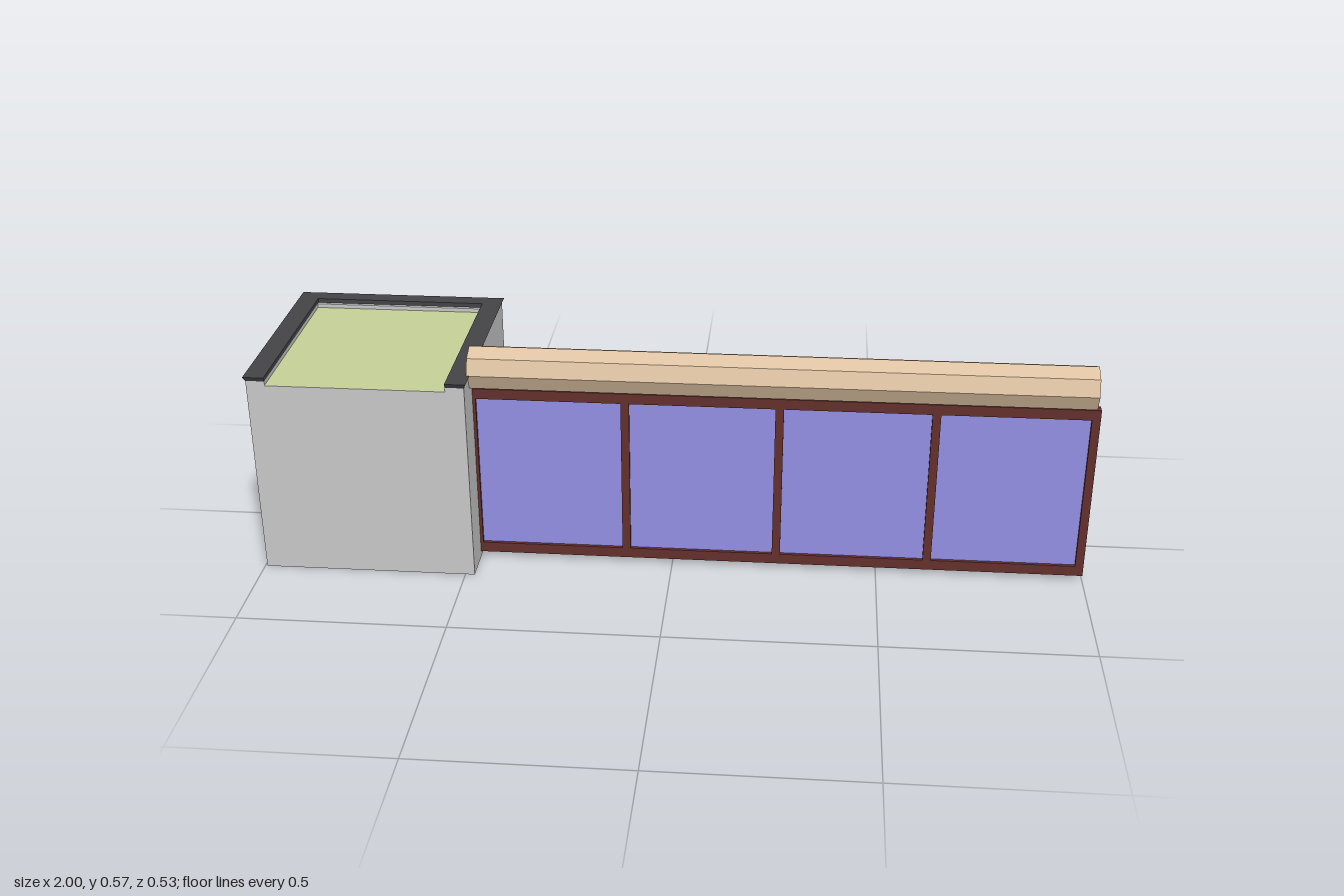
import * as THREE from 'three';

const mat = (color, extra = {}) => new THREE.MeshStandardMaterial({ color, ...extra });
const GREY = mat(0xcccccc);
const DARK = mat(0x454548);
const GLASS = mat(0x4ee8e4);
const PANE = mat(0x9592e8);
const WOOD = mat(0x65322d);
const TAN = mat(0xdfc3a3, { side: THREE.DoubleSide, flatShading: true });
const GREEN = mat(0xc8d298);

// Box given by its minimum and maximum corners
function box(name, material, [x0, y0, z0], [x1, y1, z1]) {
  const mesh = new THREE.Mesh(new THREE.BoxGeometry(x1 - x0, y1 - y0, z1 - z0), material);
  mesh.position.set((x0 + x1) / 2, (y0 + y1) / 2, (z0 + z1) / 2);
  mesh.name = name;
  return mesh;
}

// Hut extents
const X0 = -0.995, X1 = -0.477, Z = 0.261, WALL_TOP = 0.503, ROOF = 0.492, T = 0.045;
const WIN_LOW = 0.135, WIN_HIGH = 0.353, WIN = 0.22, RECESS = 0.02;

// Wall with a window hole; local x runs along the wall, local z is outward
function windowWall(name, length, winStart) {
  const group = new THREE.Group();
  group.name = name;
  const shape = new THREE.Shape();
  shape.moveTo(0, 0).lineTo(length, 0).lineTo(length, WALL_TOP).lineTo(0, WALL_TOP).closePath();
  const hole = new THREE.Path();
  hole.moveTo(winStart, WIN_LOW).lineTo(winStart, WIN_HIGH)
    .lineTo(winStart + WIN, WIN_HIGH).lineTo(winStart + WIN, WIN_LOW).closePath();
  shape.holes.push(hole);
  const wall = new THREE.Mesh(new THREE.ExtrudeGeometry(shape, { depth: T, bevelEnabled: false }), GREY);
  wall.position.z = -T;
  wall.name = name + 'Panel';
  group.add(wall, box('windowGlass', GLASS,
    [winStart, WIN_LOW, -T], [winStart + WIN, WIN_HIGH, -RECESS]));
  return group;
}

// U-shaped roof edge, open at the front, flaring outward at the top
function roofTrim() {
  const cx = (X0 + X1) / 2, h = (X1 - X0) / 2, inner = h - T;
  const shape = new THREE.Shape();
  shape.moveTo(-h, -Z).lineTo(-inner, -Z).lineTo(-inner, Z - 0.036).lineTo(inner, Z - 0.036)
    .lineTo(inner, -Z).lineTo(h, -Z).lineTo(h, Z).lineTo(-h, Z).closePath();
  const geo = new THREE.ExtrudeGeometry(shape, { depth: 0.011, bevelEnabled: false });
  geo.rotateX(-Math.PI / 2);
  const p = geo.attributes.position;
  for (let i = 0; i < p.count; i++) {
    if (p.getY(i) < 0.005) continue;
    const x = p.getX(i), z = p.getZ(i);
    if (Math.abs(x) > h - 0.001) p.setX(i, x + Math.sign(x) * 0.005);
    if (Math.abs(z) > Z - 0.001) p.setZ(i, z + Math.sign(z) * 0.005);
  }
  geo.computeVertexNormals();
  const mesh = new THREE.Mesh(geo, DARK);
  mesh.position.set(cx, WALL_TOP, 0);
  mesh.name = 'roofTrim';
  return mesh;
}

function createHut() {
  const hut = new THREE.Group();
  hut.name = 'hut';
  hut.add(box('body', GREY, [X0 + T, 0, -Z + T], [X1 - T, ROOF, Z]));
  hut.add(box('sideWall', GREY, [X0, 0, -Z], [X0 + T, WALL_TOP, Z]));

  const right = windowWall('windowSideWall', 2 * Z, Z);
  right.rotation.y = Math.PI / 2;
  right.position.set(X1, 0, Z);
  const back = windowWall('backWall', X1 - X0, 0.042);
  back.rotation.y = Math.PI;
  back.position.set(X1, 0, -Z);
  hut.add(right, back, roofTrim());

  const roof = new THREE.Mesh(new THREE.PlaneGeometry(X1 - X0 - 2 * T, 2 * Z - T), GREEN);
  roof.rotation.x = -Math.PI / 2;
  roof.position.set((X0 + X1) / 2, ROOF + 0.001, T / 2);
  roof.name = 'roof';
  hut.add(roof);
  return hut;
}

function createScreen() {
  const screen = new THREE.Group();
  screen.name = 'glazedScreen';
  const z0 = 0.147, z1 = 0.171, zc = 0.159, start = -0.484, end = 1, low = 0.014, high = 0.46;
  screen.add(box('bottomRail', WOOD, [start, low, z0], [end, low + 0.026, z1]));
  screen.add(box('topRail', WOOD, [start, high - 0.026, z0], [end, high, z1]));

  // Posts with a pane between each pair
  const step = 0.3675, w = 0.02;
  for (let i = 0; i < 5; i++) {
    const x = end - w - (4 - i) * step;
    screen.add(box('post', WOOD, [x, low + 0.026, z0], [x + w, high - 0.026, z1]));
    if (i < 4) {
      screen.add(box('pane', PANE,
        [x + w, low + 0.026, zc - 0.004], [x + step, high - 0.026, zc + 0.004]));
    }
  }

  // Open eight-sided roller housing above the screen
  const geo = new THREE.CylinderGeometry(0.054, 0.054, 1.465, 8, 1, true);
  geo.rotateZ(Math.PI / 2);
  const roller = new THREE.Mesh(geo, TAN);
  roller.position.set(0.2525, 0.513, 0.161);
  roller.name = 'rollerTube';
  screen.add(roller);
  return screen;
}

export function createModel() {
  const model = new THREE.Group();
  model.name = 'hutWithScreen';
  model.add(createHut(), createScreen());
  return model;
}
